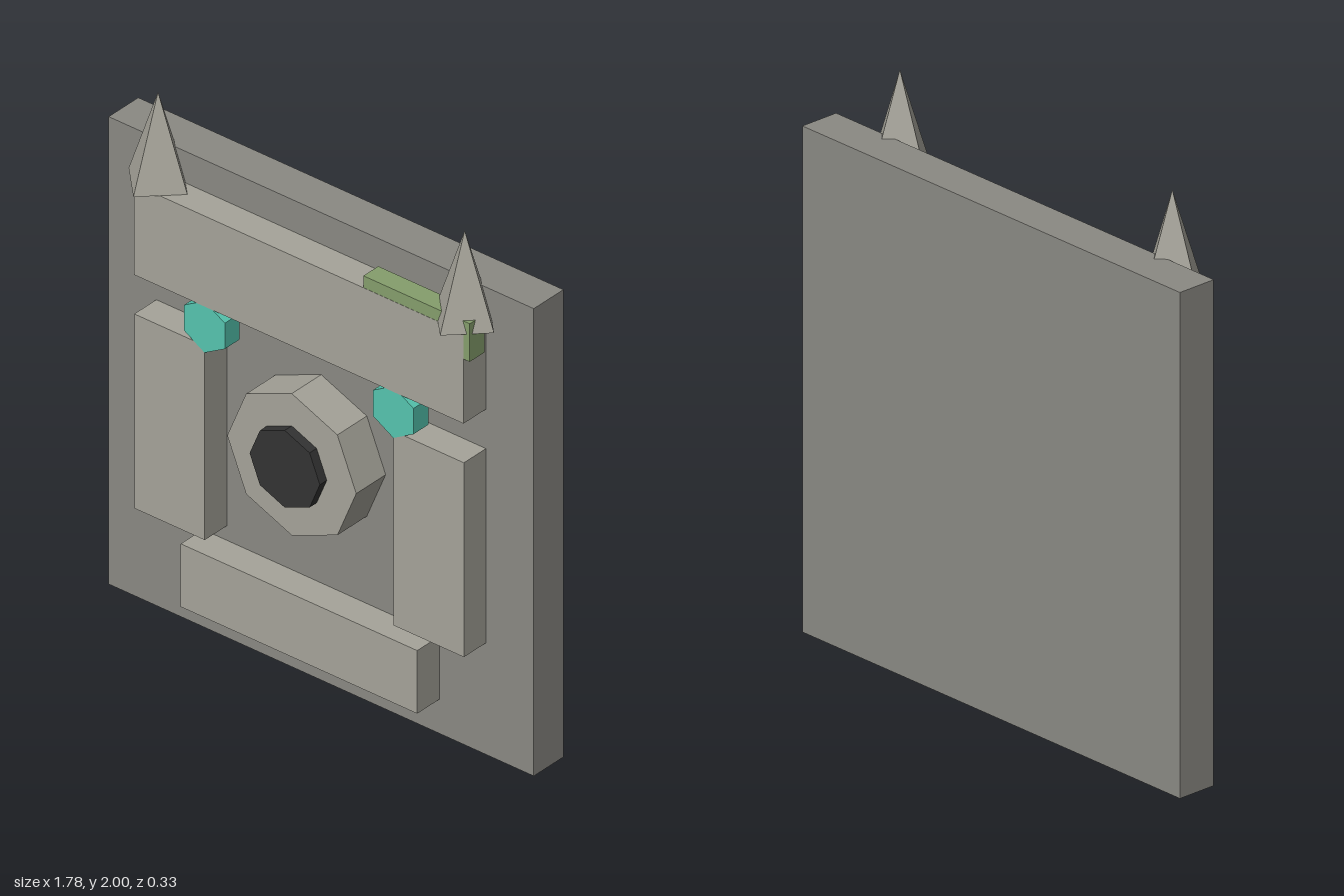
import * as THREE from 'three';

const material = (color) => new THREE.MeshStandardMaterial({ color, flatShading: true });

export function createModel() {
  const group = new THREE.Group();
  const slabStone = material(0x8a8983);
  const stone = material(0xa5a399);
  const dark = material(0x333333);
  const crystal = material(0x55c4ae);
  const moss = material(0x859e6c);

  const add = (name, geometry, mat) => {
    const mesh = new THREE.Mesh(geometry, mat);
    mesh.name = name;
    group.add(mesh);
    return mesh;
  };
  // Box given by its extents on each axis
  const box = (name, [x0, x1], [y0, y1], [z0, z1], mat) =>
    add(name, new THREE.BoxGeometry(x1 - x0, y1 - y0, z1 - z0), mat)
      .position.set((x0 + x1) / 2, (y0 + y1) / 2, (z0 + z1) / 2);
  // Prism whose axis points to the front
  const prism = (name, radius, sides, x, y, [z0, z1], mat) =>
    add(name, new THREE.CylinderGeometry(radius, radius, z1 - z0, sides).rotateX(Math.PI / 2), mat)
      .position.set(x, y, (z0 + z1) / 2);

  const wall = -0.017; // front face of the slab

  // Backing slab with raised blocks
  box('slab', [-0.89, 0.89], [0, 1.78], [-0.165, wall], slabStone);
  box('lintel', [-0.69, 0.69], [1.315, 1.66], [wall, 0.095], stone);
  box('sill', [-0.495, 0.495], [0.13, 0.37], [wall, 0.094], stone);

  // Central boss: octagonal ring and dark core
  prism('bossRing', 0.27, 8, 0, 0.893, [wall, 0.13], stone);
  prism('bossCore', 0.147, 8, 0, 0.893, [0.05, 0.165], dark);

  // Moss patch on the lintel's left end
  box('mossPatch', [0.27, 0.715], [1.56, 1.705], [0.02, 0.0942], moss);

  // Mirrored parts
  for (const [side, s] of [['left', 1], ['right', -1]]) {
    const xs = [0.395 * s, 0.69 * s].sort((a, b) => a - b);
    box(`${side}Pillar`, xs, [0.425, 1.165], [wall, 0.0935], stone);
    prism(`${side}Gem`, 0.098, 6, 0.395 * s, 1.237, [0.02, 0.0945], crystal);
    add(`${side}Spike`, new THREE.ConeGeometry(0.123, 0.34, 4), stone)
      .position.set(0.642 * s, 1.83, 0.032);
  }

  return group;
}
